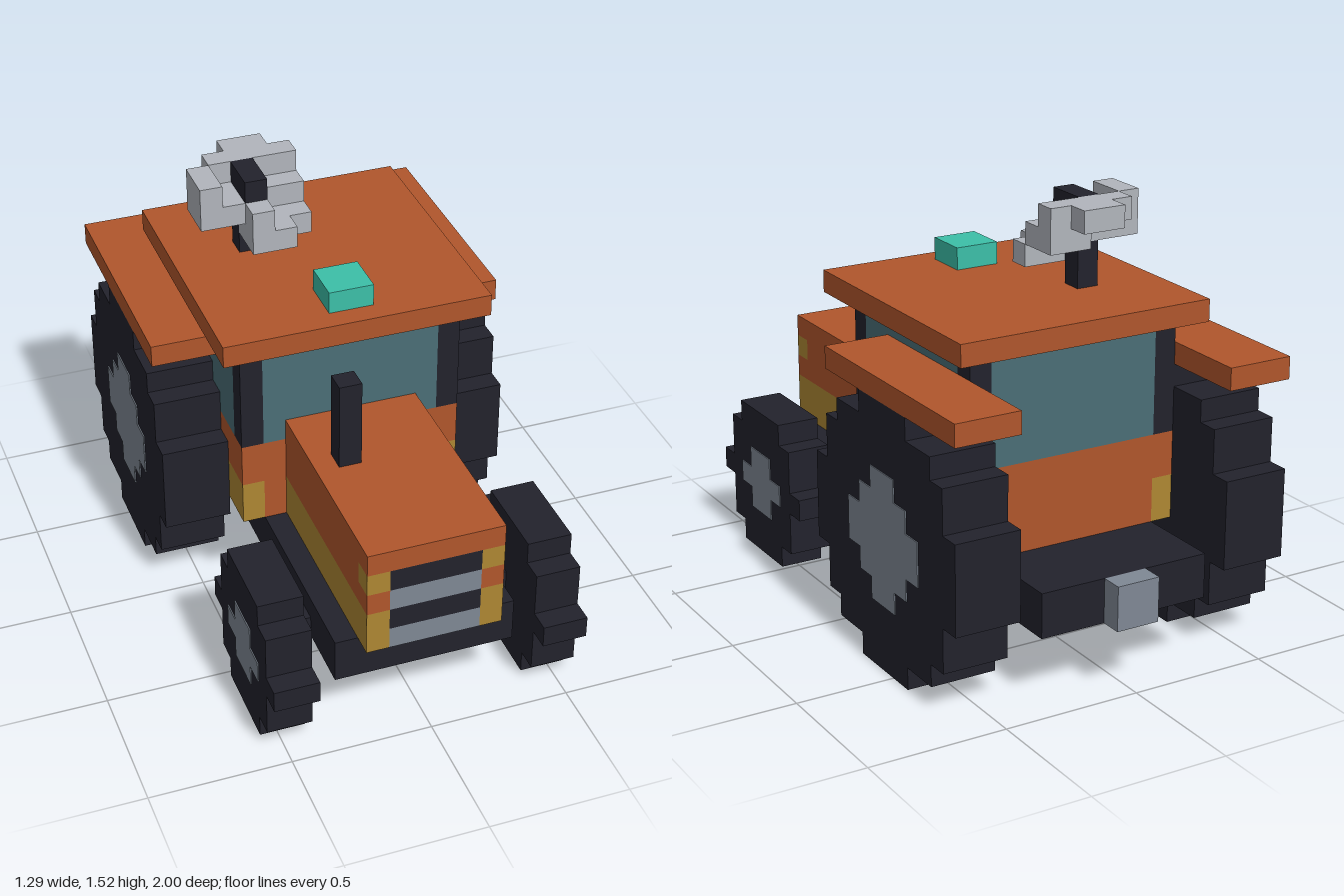
import * as THREE from 'three';

const U = 0.08; // edge of one block

const mat = (name, color) => {
  const m = new THREE.MeshStandardMaterial({ color });
  m.name = name;
  return m;
};

export function createModel() {
  const orange = mat('orange paint', 0xb0562c);
  const gold = mat('gold trim', 0xae8733);
  const dark = mat('dark rubber', 0x22222c);
  const glass = mat('window glass', 0x4a6e76);
  const steel = mat('steel', 0x7f8894);
  const silver = mat('silver', 0xb1b5bc);
  const teal = mat('teal lamp', 0x3cbfa8);

  const model = new THREE.Group();
  model.name = 'tractor';

  // Box given by its limits in blocks: x from the middle, y from the ground, z from the back
  const box = (name, material, [x0, x1], [y0, y1], [z0, z1], parent = model) => {
    const mesh = new THREE.Mesh(
      new THREE.BoxGeometry((x1 - x0) * U, (y1 - y0) * U, (z1 - z0) * U), material);
    mesh.position.set((x0 + x1) / 2 * U, (y0 + y1) / 2 * U, -1 + (z0 + z1) / 2 * U);
    mesh.name = name;
    parent.add(mesh);
    return mesh;
  };
  // The same box on both sides
  const pair = (name, material, [x0, x1], y, z) => {
    box(name + 'Left', material, [x0, x1], y, z);
    box(name + 'Right', material, [-x1, -x0], y, z);
  };

  // Chassis, axle and hitch
  box('chassis', dark, [-4, 4], [3, 5], [1, 24]);
  pair('frontAxle', dark, [4, 5], [3, 4], [20, 21]);
  box('hitch', steel, [-1, 1], [3, 5], [0, 1]);

  // Hood
  box('hoodCore', orange, [-2, 2], [5, 7], [15, 24]);
  box('hood', orange, [-3, 3], [7, 10], [15, 24]);
  pair('hoodTrim', gold, [2, 3], [5, 7], [15, 25]);
  box('noseTop', orange, [-3, 3], [9, 10], [24, 25]);
  pair('noseCheek', orange, [2, 3], [7, 8], [24, 25]);
  pair('headlight', gold, [2, 3], [8, 9], [24, 25]);
  for (let i = 0; i < 4; i++) {
    box('grilleBar', i % 2 ? dark : steel, [-2, 2], [5 + i, 6 + i], [24, 25]);
  }
  box('exhaust', dark, [-2, -1], [10, 14], [18, 19]);

  // Cab
  box('cabFloor', orange, [-4, 4], [5, 7], [5, 15]);
  pair('cabTrim', gold, [4, 5], [5, 7], [5, 15]);
  box('cabBody', orange, [-5, 5], [7, 9], [5, 15]);
  box('frontAndRearWindows', glass, [-4, 4], [9, 14], [5, 15]);
  pair('sideWindow', glass, [4, 5], [9, 14], [6, 14]);
  pair('rearPillar', dark, [4, 5], [9, 14], [5, 6]);
  pair('frontPillar', dark, [4, 5], [9, 14], [14, 15]);
  box('roof', orange, [-6, 6], [14, 15], [4, 16]);
  pair('fender', orange, [5, 8], [12, 13], [1, 12]);
  box('beacon', teal, [-1, 1], [15, 16], [13, 15]);

  // Stepped disc, from the half width of each row of blocks, extruded along x
  const disc = (rows, depth) => {
    const pts = [];
    const h = rows.length / 2;
    rows.forEach((w, i) => pts.push([w, i - h], [w, i + 1 - h]));
    const outline = [...pts, ...pts.map(([w, y]) => [-w, y]).reverse()];
    const shape = new THREE.Shape(outline.map(([x, y]) => new THREE.Vector2(x * U, y * U)));
    return new THREE.ExtrudeGeometry(shape, { depth, bevelEnabled: false })
      .rotateY(Math.PI / 2).translate(-depth / 2, 0, 0);
  };

  // Wheels
  const addWheels = (name, tyreRows, hubRows, width, z) => {
    const tyreGeo = disc(tyreRows, width * U);
    const hubGeo = disc(hubRows, 0.008);
    for (const side of [1, -1]) {
      const wheel = new THREE.Group();
      wheel.name = name + (side > 0 ? 'Left' : 'Right');
      const tyre = new THREE.Mesh(tyreGeo, dark);
      tyre.name = 'tyre';
      const hub = new THREE.Mesh(hubGeo, steel);
      hub.name = 'hub';
      hub.position.x = side * width * U / 2;
      wheel.add(tyre, hub);
      wheel.position.set(side * (5 + width / 2) * U, tyreRows.length / 2 * U, -1 + z * U);
      model.add(wheel);
    }
  };
  addWheels('frontWheel', [2, 3, 3, 4, 3, 3, 2], [1, 2, 1], 2, 21);
  addWheels('rearWheel', [2, 4, 5, 5, 6, 6, 6, 6, 5, 5, 4, 2], [1, 2, 3, 3, 2, 1], 3, 7);

  // Tilted dish on the roof
  const dish = new THREE.Group();
  dish.name = 'dish';
  model.add(dish);
  box('dishPost', dark, [-3, -2], [15, 17], [8, 9], dish);
  const cells = [
    // x, y, z ranges, from the high back edge to the low front edge
    [[-3, -1], [18, 19], [6, 7]],
    [[-4, 0], [18, 19], [7, 8]],
    [[-2, 0], [17, 18], [7, 8]],
    [[-5, -4], [17, 19], [8, 10]],
    [[-4, 0], [17, 18], [8, 9]],
    [[-4, -2], [17, 18], [9, 10]],
    [[-3, 0], [16, 17], [9, 10]],
    [[-3, -2], [17, 18], [10, 11]],
    [[-3, -1], [16, 17], [10, 11]],
  ];
  cells.forEach(([x, y, z]) => box('dishPanel', silver, x, y, z, dish));
  box('dishReceiver', dark, [-3, -2], [18, 19], [8, 10], dish);

  return model;
}
